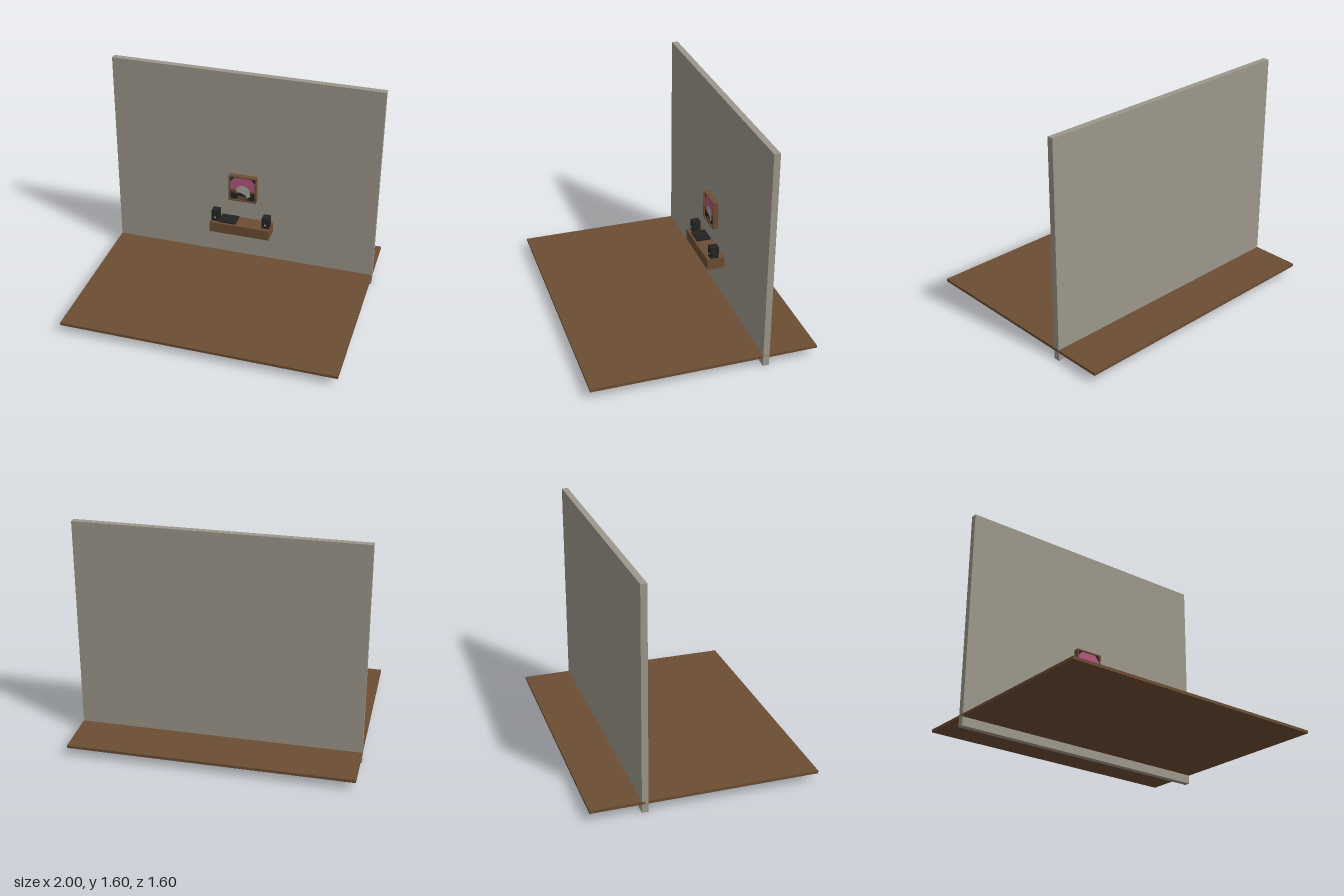
import * as THREE from 'three';

const mat = (name, color) => Object.assign(new THREE.MeshStandardMaterial({ color }), { name });

export function createModel() {
  const model = new THREE.Group();
  const plaster = mat('plaster', 0x9c978b);
  const wood = mat('wood', 0x6b4d33);
  const black = mat('black', 0x232323);
  const pink = mat('pink', 0xb2567e);
  const pale = mat('pale grey', 0xa9a69c);

  const add = (name, geometry, material, parent = model) => {
    const mesh = new THREE.Mesh(geometry, material);
    mesh.name = name;
    parent.add(mesh);
    return mesh;
  };
  // Box given by its lower and upper limits on each axis
  const box = (name, x0, x1, y0, y1, z0, z1, material, parent) => {
    const mesh = add(name, new THREE.BoxGeometry(x1 - x0, y1 - y0, z1 - z0), material, parent);
    mesh.position.set((x0 + x1) / 2, (y0 + y1) / 2, (z0 + z1) / 2);
    return mesh;
  };
  // Disc-like cylinder lying flat, or facing the front
  const disc = (name, r, h, x, y, z, material, parent, front = false) => {
    const mesh = add(name, new THREE.CylinderGeometry(r, r, h, 24), material, parent);
    mesh.position.set(x, y, z);
    if (front) mesh.rotation.x = Math.PI / 2;
    return mesh;
  };

  // Room
  box('wall', -1, 1, 0, 1.6, -0.45, -0.405, plaster);
  box('floor', -1, 1, 0.063, 0.083, -0.8, 0.8, wood);

  // Wall shelf with two drawer fronts
  const shelf = new THREE.Group();
  shelf.name = 'shelf';
  model.add(shelf);
  box('shelfBody', -0.23, 0.23, 0.328, 0.41, -0.405, -0.28, wood, shelf);
  for (const s of [-1, 1]) {
    const x = s * 0.1155;
    box('drawerFront', x - 0.1145, x + 0.1145, 0.328, 0.408, -0.28, -0.274, wood, shelf);
  }

  // Speakers
  for (const s of [-1, 1]) {
    const speaker = new THREE.Group();
    speaker.name = 'speaker';
    speaker.position.set(s * 0.195, 0, 0);
    model.add(speaker);
    box('speakerCabinet', -0.028, 0.028, 0.41, 0.498, -0.362, -0.301, black, speaker);
    disc('woofer', 0.019, 0.003, 0, 0.442, -0.3, black, speaker, true);
    disc('wooferCap', 0.008, 0.003, 0, 0.442, -0.298, pale, speaker, true);
    disc('tweeter', 0.009, 0.003, 0, 0.479, -0.3, black, speaker, true);
  }

  // Record player
  const player = new THREE.Group();
  player.name = 'recordPlayer';
  model.add(player);
  box('playerBase', -0.165, -0.032, 0.412, 0.423, -0.395, -0.288, black, player);
  disc('platter', 0.047, 0.005, -0.108, 0.4255, -0.341, black, player);
  const arm = box('toneArm', -0.049, -0.046, 0.427, 0.43, -0.38, -0.315, black, player);
  arm.rotation.y = -0.25;

  // Picture frame
  const picture = new THREE.Group();
  picture.name = 'picture';
  model.add(picture);
  const outer = new THREE.Shape([[-0.105, 0.579], [0.105, 0.579], [0.105, 0.789], [-0.105, 0.789]].map(p => new THREE.Vector2(...p)));
  outer.holes.push(new THREE.Path([[-0.095, 0.589], [-0.095, 0.779], [0.095, 0.779], [0.095, 0.589]].map(p => new THREE.Vector2(...p))));
  add('frame', new THREE.ExtrudeGeometry(outer, { depth: 0.04, bevelEnabled: false }), wood, picture).position.z = -0.396;
  box('pictureBacking', -0.095, 0.095, 0.589, 0.779, -0.394, -0.366, black, picture);
  for (const y of [0.6, 0.765]) box('wallMount', -0.078, 0.078, y - 0.005, y + 0.005, -0.405, -0.394, black, picture);

  // Painted shapes, each layer just in front of the one before
  let layer = -0.3655;
  const paint = (name, points, material) => {
    const shape = new THREE.Shape(points.map(p => new THREE.Vector2(...p)));
    add(name, new THREE.ShapeGeometry(shape), material, picture).position.z = layer;
    layer += 0.001;
  };
  paint('pinkField', [[-0.095, 0.665], [0.095, 0.665], [0.095, 0.737], [0.058, 0.779], [-0.058, 0.779], [-0.095, 0.737]], pink);
  paint('brownBand', [[-0.095, 0.672], [-0.095, 0.655], [-0.06, 0.642], [-0.03, 0.64], [-0.03, 0.668]], wood);
  paint('brownEdge', [[0.06, 0.655], [0.095, 0.652], [0.095, 0.668], [0.06, 0.67]], wood);
  paint('brownBase', [[-0.045, 0.605], [-0.03, 0.589], [0.02, 0.589], [0.038, 0.61], [0.02, 0.622], [-0.03, 0.622]], wood);
  const arch = [];
  for (let i = 0; i <= 12; i++) {
    const a = Math.PI * (1 - i / 12);
    arch.push([0.003 + 0.053 * Math.cos(a), 0.664 + 0.05 * Math.sin(a)]);
  }
  paint('paleArch', [...arch, [0.062, 0.635], [0.038, 0.608], [0.02, 0.635], [-0.005, 0.648], [-0.03, 0.652]], pale);
  return model;
}
